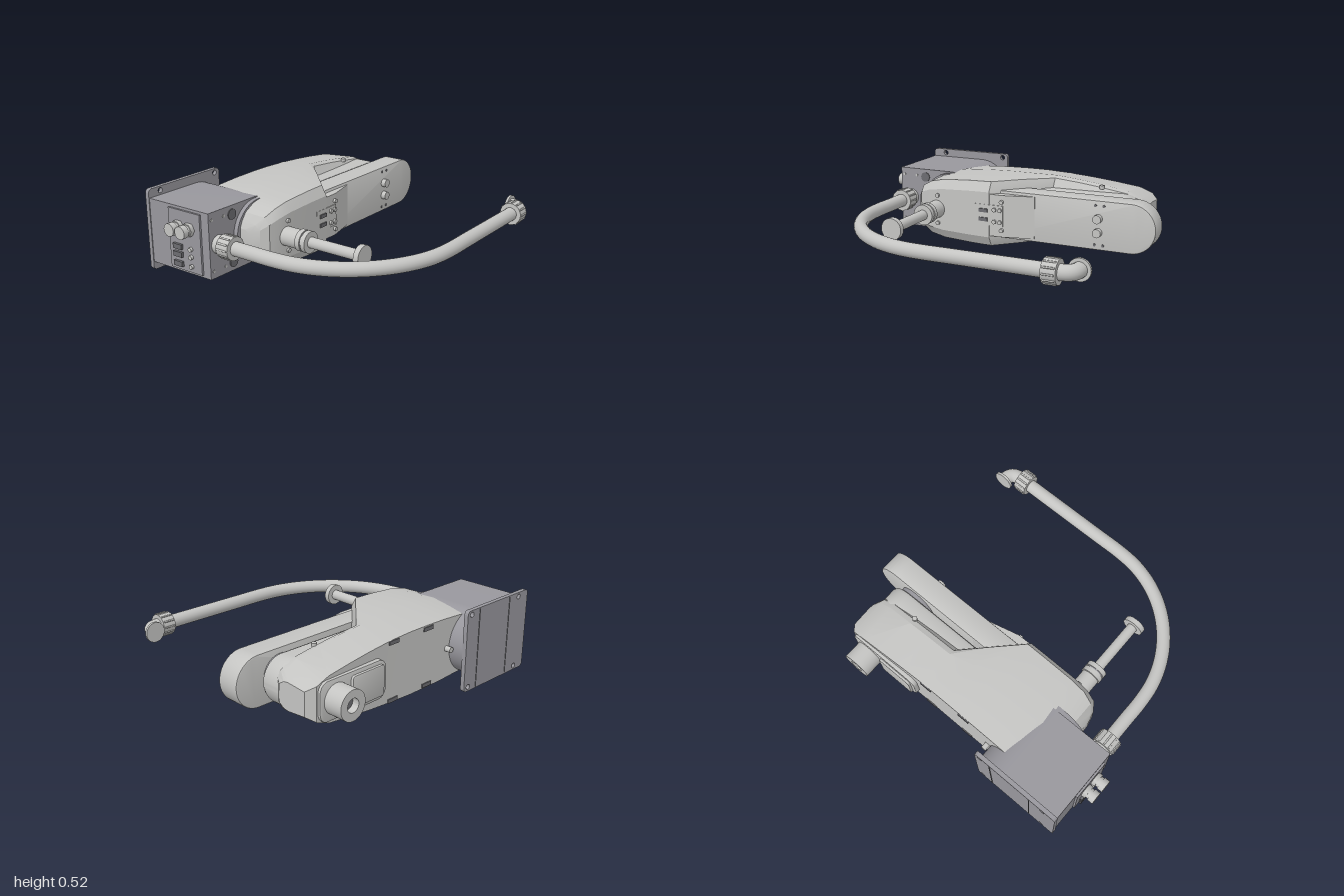
import * as THREE from 'three';
import { toCreasedNormals } from 'three/addons/utils/BufferGeometryUtils.js';

const make = (name, color) => Object.assign(new THREE.MeshStandardMaterial({ color }), { name });

export function createModel() {
  const light = make('light grey', 0xc4c4c2);
  const grey = make('base grey', 0x98979d);
  const dark = make('dark grey', 0x6c6c70);
  const model = new THREE.Group();
  model.name = 'robotArm';
  model.position.y = 0.262; // everything is mirrored about this height

  const add = (name, geo, mat, x = 0, y = 0, z = 0) => {
    const m = new THREE.Mesh(geo, mat);
    m.name = name;
    m.position.set(x, y, z);
    model.add(m);
    return m;
  };
  // cylinder along z between two depths
  const cylZ = (name, mat, r, x, y, z0, z1, seg = 32) =>
    add(name, new THREE.CylinderGeometry(r, r, z1 - z0, seg).rotateX(Math.PI / 2), mat, x, y, (z0 + z1) / 2);
  const cylX = (name, mat, r, x0, x1, y, z, seg = 32) =>
    add(name, new THREE.CylinderGeometry(r, r, x1 - x0, seg).rotateZ(Math.PI / 2), mat, (x0 + x1) / 2, y, z);
  const box = (name, mat, x0, x1, y0, y1, z0, z1) =>
    add(name, new THREE.BoxGeometry(x1 - x0, y1 - y0, z1 - z0), mat, (x0 + x1) / 2, (y0 + y1) / 2, (z0 + z1) / 2);
  // front outline extruded between two depths, with optional bevel
  const slab = (name, mat, shape, z0, z1, bevel = 0) => {
    const g = new THREE.ExtrudeGeometry(shape, {
      depth: z1 - z0 - 2 * bevel, curveSegments: 24, bevelEnabled: bevel > 0,
      bevelSize: bevel, bevelThickness: bevel, bevelOffset: -bevel, bevelSegments: 2 });
    return add(name, toCreasedNormals(g, 0.6), mat, 0, 0, z0 + bevel);
  };
  // straight left end, round right end
  const roundEnd = (x0, x1, r) => {
    const s = new THREE.Shape();
    s.moveTo(x0, -r);
    s.lineTo(x1 - r, -r);
    s.absarc(x1 - r, 0, r, -Math.PI / 2, Math.PI / 2, false);
    s.lineTo(x0, r);
    s.closePath();
    return s;
  };
  const roundRect = (x0, x1, h, r) => {
    const s = new THREE.Shape();
    s.absarc(x1 - r, h - r, r, 0, Math.PI / 2);
    s.absarc(x0 + r, h - r, r, Math.PI / 2, Math.PI);
    s.absarc(x0 + r, r - h, r, Math.PI, 1.5 * Math.PI);
    s.absarc(x1 - r, r - h, r, 1.5 * Math.PI, 2 * Math.PI);
    return s;
  };
  const hole = (s, x, y, r) => s.holes.push(new THREE.Path().absarc(x, y, r, 0, 2 * Math.PI, true));

  // Base housing and mounting flange
  slab('baseHousing', grey, roundEnd(-0.905, -0.305, 0.207), -0.84, -0.34);
  const flange = roundRect(-0.91, -0.305, 0.262, 0.025);
  for (const x of [-0.815, -0.345]) for (const y of [-0.235, 0.235]) hole(flange, x, y, 0.017);
  slab('mountingFlange', grey, flange, -0.86, -0.832);
  for (const x of [-0.72, -0.42]) box('flangeSeam', dark, x - 0.003, x + 0.003, -0.255, 0.255, -0.863, -0.858);
  cylZ('jointCollar', grey, 0.2, -0.5, 0, -0.36, -0.31, 48);
  for (const s of [-1, 1]) {
    cylZ('baseCap', dark, 0.033, -0.71, s * 0.152, -0.345, -0.334);
    for (const x of [-0.88, -0.78]) cylZ('baseScrew', light, 0.009, x, s * 0.16, -0.345, -0.335, 12);
  }

  // Connectors on the base end
  box('connectorPlate', grey, -0.918, -0.9, -0.19, 0.19, -0.66, -0.4);
  for (const z of [-0.575, -0.485]) {
    cylX('cableGlandNut', light, 0.043, -0.945, -0.91, 0.085, z, 6);
    cylX('cableGland', light, 0.034, -0.965, -0.94, 0.085, z);
    cylX('cableGlandCap', light, 0.041, -1, -0.962, 0.085, z, 12);
  }
  for (const y of [-0.15, -0.09, -0.04]) {
    box('socket', dark, -0.935, -0.91, y - 0.016, y + 0.016, -0.62, -0.55);
    cylX('plug', light, 0.014, -0.935, -0.91, y, -0.48, 12);
  }

  // Main arm cover: [x, half height, front z, back z]
  const stations = [
    [-0.672, 0.06, -0.24, -0.7], [-0.655, 0.1, -0.17, -0.73], [-0.62, 0.15, -0.125, -0.73],
    [-0.55, 0.19, -0.105, -0.73], [-0.45, 0.213, -0.1, -0.73], [-0.25, 0.226, -0.1, -0.73],
    [-0.1, 0.23, -0.1, -0.73], [0.05, 0.23, -0.25, -0.73], [0.22, 0.222, -0.42, -0.73],
    [0.4, 0.205, -0.42, -0.735], [0.55, 0.186, -0.42, -0.74], [0.72, 0.16, -0.42, -0.745],
    [0.81, 0.12, -0.43, -0.745], [0.855, 0.085, -0.5, -0.7],
  ];
  const rings = stations.map(([x, h, zf, zb]) => {
    const half = [[h * 0.87, zb], [h, Math.min(-0.45, zf - 0.07)], [h * 0.94, zf - 0.035], [h * 0.66, zf]];
    return [...half, ...half.slice().reverse().map(([y, z]) => [-y, z])].map(([y, z]) => [x, y, z]);
  });
  const pos = [];
  for (let i = 0; i < rings.length - 1; i++) for (let k = 0; k < 8; k++) {
    const [a, b, c, d] = [rings[i][k], rings[i][(k + 1) % 8], rings[i + 1][k], rings[i + 1][(k + 1) % 8]];
    pos.push(...a, ...b, ...c, ...b, ...d, ...c);
  }
  const last = rings[rings.length - 1];
  for (let k = 1; k < 7; k++) {
    pos.push(...last[0], ...last[k], ...last[k + 1]);
    pos.push(...rings[0][0], ...rings[0][k + 1], ...rings[0][k]);
  }
  const cover = new THREE.BufferGeometry();
  cover.setAttribute('position', new THREE.Float32BufferAttribute(pos, 3));
  add('armCover', toCreasedNormals(cover, 0.4), light);

  // Neck and second link below the cover
  slab('armNeck', light, roundEnd(0.05, 0.845, 0.15), -0.5, -0.335, 0.03);
  cylZ('elbowJoint', grey, 0.125, 0.68, 0, -0.34, -0.3, 40);
  slab('outerLink', light, roundEnd(-0.05, 1, 0.16), -0.31, -0.158, 0.008);
  const wedge = new THREE.Shape([[-0.2, 0.1], [0, 0.105], [0.2, 0.155], [0.2, 0.31], [-0.15, 0.31]]
    .map(([x, z]) => new THREE.Vector2(x, z)));
  add('linkWedge', new THREE.ExtrudeGeometry(wedge, { depth: 0.28, bevelEnabled: false })
    .rotateX(-Math.PI / 2).translate(0, -0.14, 0), light);

  // Rear boss and service panel at the elbow
  slab('rearPlate', light, roundRect(0.29, 0.8, 0.12, 0.06), -0.762, -0.72, 0.006);
  slab('servicePanel', light, roundRect(0.32, 0.57, 0.095, 0.02), -0.778, -0.755, 0.004);
  const boss = new THREE.Shape().absarc(0.678, 0, 0.092, 0, 2 * Math.PI);
  hole(boss, 0.678, 0, 0.042);
  slab('rearBoss', light, boss, -0.885, -0.75);
  cylZ('bossBore', dark, 0.042, 0.678, 0, -0.84, -0.76);
  cylZ('rearPin', light, 0.018, -0.28, 0, -0.77, -0.72, 16);

  // Side fasteners and rear pockets
  for (const s of [-1, 1]) {
    const screw = cylZ('sideFastener', light, 0.016, 0.55, s * 0.18, -0.012, 0.012, 16);
    screw.rotation.x = Math.PI / 2;
    screw.position.z = -0.45;
    for (const x of [0.2, -0.1]) box('rearPocket', dark, x - 0.04, x + 0.04, s * 0.18 - 0.012, s * 0.18 + 0.012, -0.737, -0.727);
  }

  // Front screws, ports and link domes
  for (const s of [-1, 1]) {
    for (const x of [-0.48, -0.01]) cylZ('frontScrew', light, 0.014, x, s * 0.095, -0.11, -0.088, 12);
    cylZ('linkDome', light, 0.028, 0.63, s * 0.045, -0.165, -0.125, 24);
    for (const x of [0.61, 0.665]) cylZ('linkScrew', dark, 0.009, x, s * 0.128, -0.165, -0.154, 12);
    cylZ('airPort', light, 0.014, -0.02, s * 0.04, -0.11, -0.085, 12);
    cylZ('airPort', light, 0.014, -0.06, s * 0.04, -0.11, -0.085, 12);
  }
  box('portPanel', light, -0.2, 0, -0.07, 0.07, -0.115, -0.098);
  for (const y of [-0.03, 0.03]) box('port', dark, -0.17, -0.11, y - 0.012, y + 0.012, -0.1, -0.09);

  // Tool spindle
  cylZ('spindleSleeve', light, 0.06, -0.49, 0, -0.13, 0.01);
  cylZ('spindleCollar', light, 0.068, -0.49, 0, 0.012, 0.045);
  cylZ('spindleNeck', grey, 0.062, -0.49, 0, 0.04, 0.056);
  cylZ('spindleCollar', light, 0.068, -0.49, 0, 0.054, 0.085);
  cylZ('spindleRod', light, 0.034, -0.49, 0, 0.08, 0.445);
  cylZ('spindleFlange', light, 0.07, -0.49, 0, 0.44, 0.475);

  // Cable conduit sweeping round to the free elbow fitting
  const v = (x, z) => new THREE.Vector3(x, 0, z);
  const points = [v(-0.83, -0.36), v(-0.83, -0.2), v(-0.83, -0.05)];
  for (let i = 0; i <= 8; i++) {
    const a = (i / 8) * Math.PI / 2;
    points.push(v(-0.1 - 0.73 * Math.cos(a), 0.075 + 0.73 * Math.sin(a)));
  }
  points.push(v(0.1, 0.805), v(0.4, 0.805), v(0.68, 0.805));
  add('conduit', new THREE.TubeGeometry(new THREE.CatmullRomCurve3(points), 96, 0.044, 20), light);
  cylZ('conduitNut', light, 0.073, -0.83, 0, -0.295, -0.205, 24);
  cylZ('conduitRing', light, 0.058, -0.83, 0, -0.345, -0.29, 24);
  cylX('conduitNut', light, 0.072, 0.668, 0.755, 0, 0.805, 24);
  for (let i = 0; i < 12; i++) {
    const a = (i / 12) * 2 * Math.PI, c = 0.072 * Math.cos(a), s = 0.072 * Math.sin(a);
    cylX('nutRib', light, 0.006, 0.675, 0.748, c, 0.805 + s, 6);
    cylZ('nutRib', light, 0.006, -0.83 + c, s, -0.288, -0.212, 6);
  }
  const bend = new THREE.CubicBezierCurve3(v(0.745, 0.805), v(0.81, 0.805), v(0.835, 0.78), v(0.835, 0.72));
  add('conduitElbow', new THREE.TubeGeometry(bend, 16, 0.046, 20), light);
  cylZ('elbowFlange', light, 0.066, 0.835, 0, 0.712, 0.728);

  return model;
}
